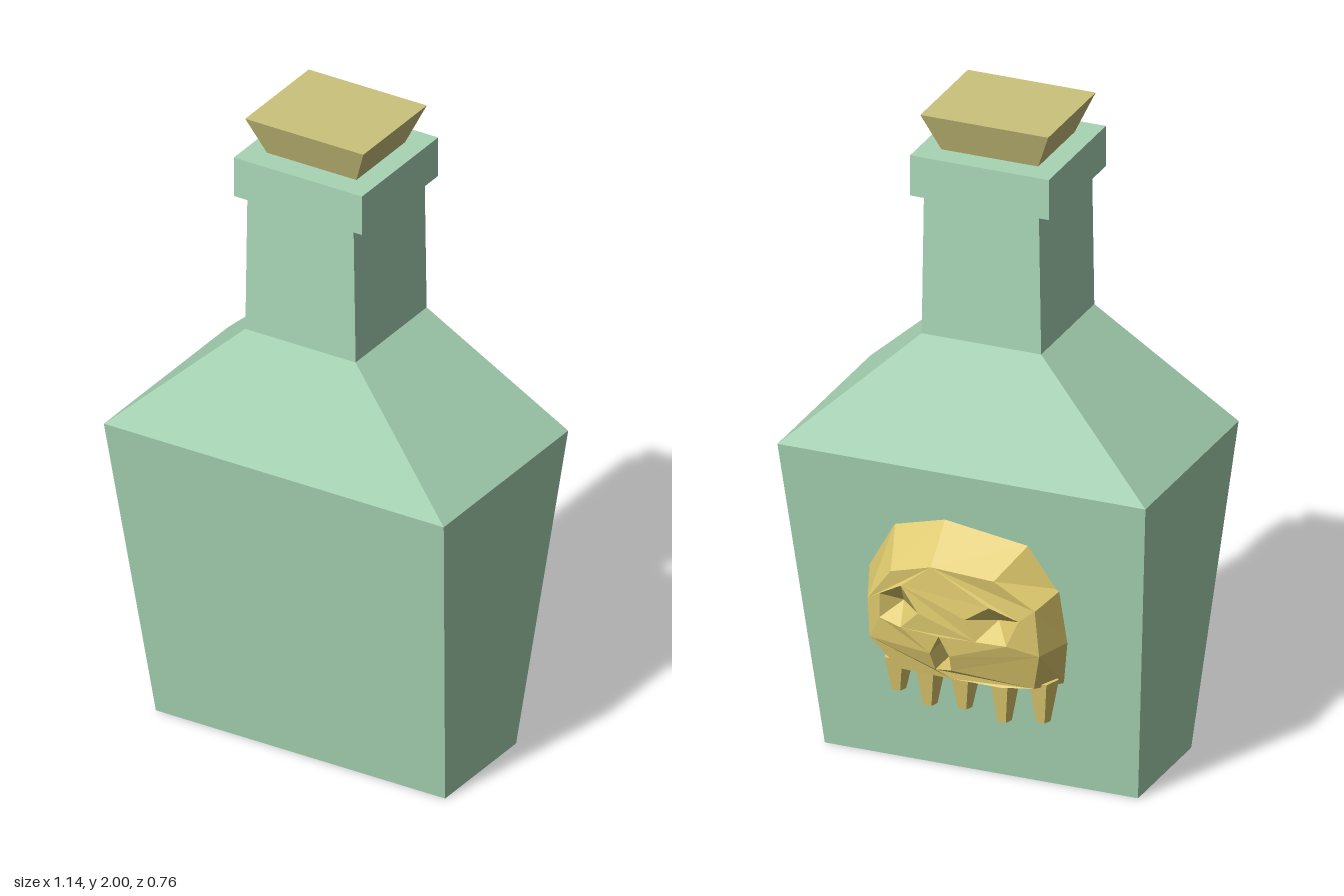
import * as THREE from 'three';

const glass = new THREE.MeshStandardMaterial({ color: 0xa8d5b5 });
glass.name = 'pale green glass';
const cork = new THREE.MeshStandardMaterial({ color: 0xcbc27c });
cork.name = 'cork';
const gold = new THREE.MeshStandardMaterial({ color: 0xdcc76c });
gold.name = 'skull gold';

const CZ = 0.048; // depth centre of the bottle

// Four-sided tapered block; [halfWidth, halfDepth] at bottom and top
function taperedBlock(name, material, y0, y1, [w0, d0], [w1, d1]) {
  const geo = new THREE.BoxGeometry(2, 1, 2);
  const p = geo.attributes.position;
  for (let i = 0; i < p.count; i++) {
    const top = p.getY(i) > 0;
    p.setXYZ(i, p.getX(i) * (top ? w1 : w0), top ? y1 : y0, CZ + p.getZ(i) * (top ? d1 : d0));
  }
  geo.computeVertexNormals();
  const mesh = new THREE.Mesh(geo, material);
  mesh.name = name;
  return mesh;
}

// Back wall of the bottle, and the domed face of the skull in front of it
const wallZ = (y) => -0.14 - 0.149 * y;
const faceZ = (x, y) => -0.38 + 0.5 * (x - 0.04) ** 2
  + 0.32 * Math.max(0, 0.47 - y) + 0.25 * Math.max(0, y - 0.66);

const toPoints = (ring, depth) => ring.map(([x, y]) => new THREE.Vector3(x, y, depth(x, y)));

function flatMesh(name, points) {
  const geo = new THREE.BufferGeometry().setFromPoints(points);
  geo.computeVertexNormals();
  const mesh = new THREE.Mesh(geo, gold);
  mesh.name = name;
  return mesh;
}

// Faceted strip between an outer and an inner ring
function band(name, outer, inner) {
  const pts = [];
  outer.forEach((o, i) => {
    const j = (i + 1) % outer.length;
    pts.push(o, outer[j], inner[j], o, inner[j], inner[i]);
  });
  return flatMesh(name, pts);
}

function createSkull() {
  const skull = new THREE.Group();
  skull.name = 'skullRelief';
  const rim = [[0.06, 0.83], [0.22, 0.785], [0.31, 0.63], [0.31, 0.43], [0.19, 0.335], [0, 0.335],
    [-0.15, 0.33], [-0.28, 0.34], [-0.3, 0.48], [-0.285, 0.65], [-0.2, 0.79]];
  const face = [[0.06, 0.715], [0.185, 0.68], [0.26, 0.58], [0.255, 0.46], [0.17, 0.37], [0.0, 0.37],
    [-0.14, 0.36], [-0.235, 0.365], [-0.262, 0.48], [-0.25, 0.62], [-0.13, 0.7]];
  const eyes = [
    [[0.15, 0.645], [0.22, 0.605], [0.22, 0.53], [0.15, 0.515], [0.095, 0.57]],
    [[-0.12, 0.62], [-0.05, 0.575], [-0.08, 0.51], [-0.17, 0.505], [-0.205, 0.585]],
  ];
  const nose = [[0.03, 0.51], [0.06, 0.45], [0.05, 0.395], [0.0, 0.4], [0.0, 0.45]];

  // Cranium sides
  skull.add(band('cranium', toPoints(rim, (x, y) => wallZ(y) + 0.01), toPoints(face, faceZ)));

  // Face plate pierced by eyes and nose, turned to look backward
  const shape = new THREE.Shape(face.map(([x, y]) => new THREE.Vector2(x, y)));
  for (const h of [...eyes, nose]) shape.holes.push(new THREE.Path(h.map(([x, y]) => new THREE.Vector2(x, y))));
  const flat = new THREE.ShapeGeometry(shape).toNonIndexed();
  const p = flat.attributes.position;
  const pts = [];
  for (let i = 0; i < p.count; i += 3) {
    for (const k of [i, i + 2, i + 1]) {
      pts.push(new THREE.Vector3(p.getX(k), p.getY(k), faceZ(p.getX(k), p.getY(k))));
    }
  }
  skull.add(flatMesh('facePlate', pts));

  // Funnel-shaped eye sockets
  eyes.forEach((eye, n) => {
    const edge = toPoints(eye, faceZ);
    const centre = edge.reduce((a, v) => a.add(v), new THREE.Vector3()).divideScalar(edge.length);
    centre.z += 0.06;
    skull.add(band(n ? 'rightEyeSocket' : 'leftEyeSocket', edge, edge.map(() => centre)));
  });

  // Nose passage open down to the glass
  skull.add(band('noseOpening', toPoints(nose, faceZ), toPoints(nose, (x, y) => wallZ(y))));

  // Teeth: [x, bottom y, z]
  const teeth = [[0.21, 0.265, -0.25], [0.1, 0.25, -0.28], [-0.01, 0.26, -0.285],
    [-0.13, 0.238, -0.28], [-0.235, 0.24, -0.245]];
  for (const [x, y, z] of teeth) {
    const height = 0.37 - y;
    const geo = new THREE.CylinderGeometry(0.046, 0.022, height, 5).toNonIndexed();
    geo.computeVertexNormals();
    const tooth = new THREE.Mesh(geo, gold);
    tooth.name = 'tooth';
    tooth.position.set(x, y + height / 2, z);
    skull.add(tooth);
  }
  return skull;
}

export function createModel() {
  const model = new THREE.Group();
  model.name = 'bottle';
  model.add(
    taperedBlock('body', glass, 0, 0.975, [0.485, 0.19], [0.57, 0.333]),
    taperedBlock('shoulder', glass, 0.975, 1.33, [0.57, 0.333], [0.185, 0.19]),
    taperedBlock('neck', glass, 1.33, 1.77, [0.185, 0.19], [0.178, 0.19]),
    taperedBlock('lip', glass, 1.76, 1.885, [0.215, 0.204], [0.215, 0.204]),
    taperedBlock('stopper', cork, 1.885, 2, [0.15, 0.13], [0.198, 0.17]),
    createSkull(),
  );
  return model;
}
